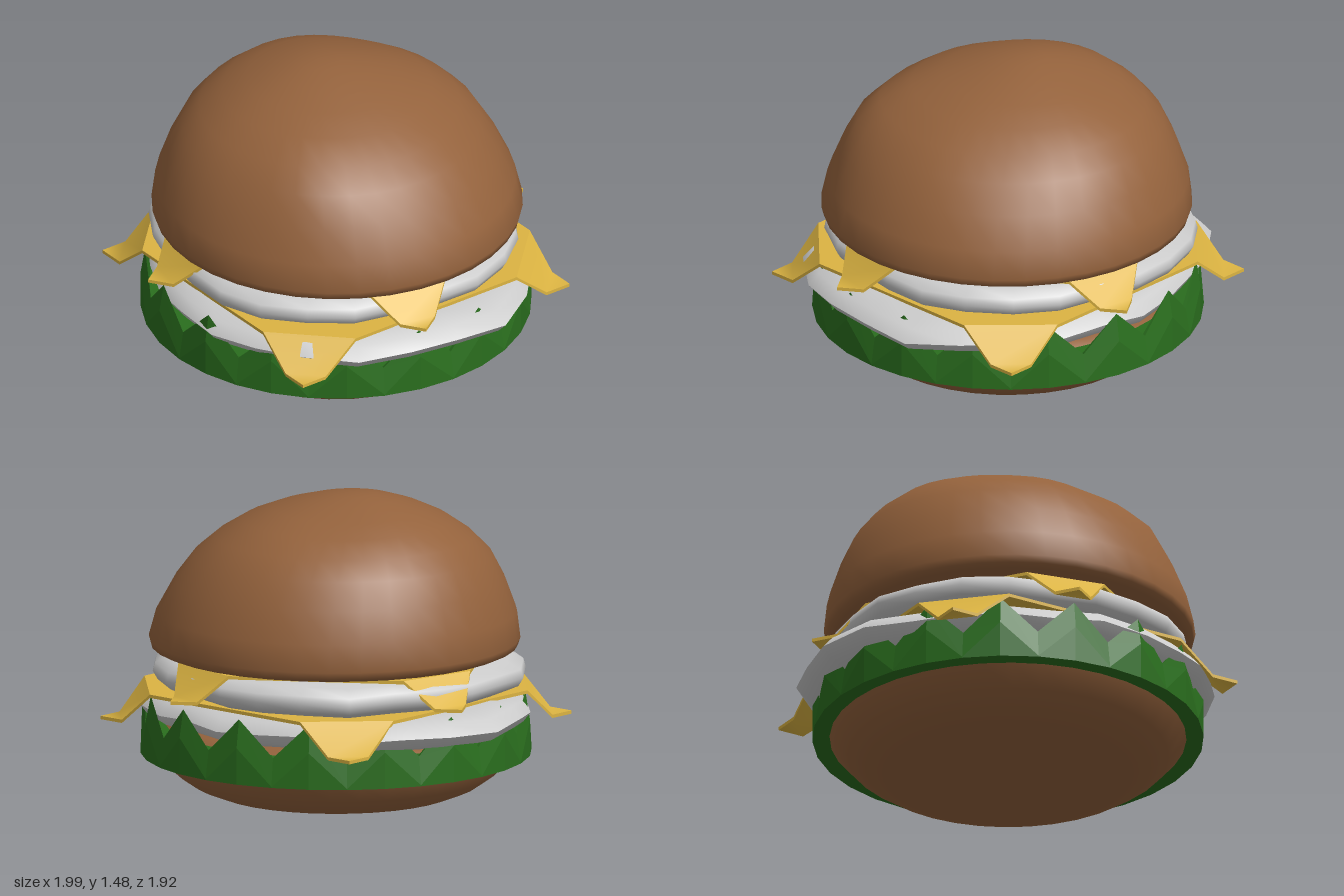
import * as THREE from 'three';
import { mergeVertices, toCreasedNormals } from 'three/addons/utils/BufferGeometryUtils.js';

const BUN = 0x94623c, CHEESE = 0xdcb442, LETTUCE = 0x2a6e1e, GREY = 0xcccccc;
const CX = 0.02;

function part(name, geometry, color, extra = {}) {
  const mesh = new THREE.Mesh(geometry, new THREE.MeshStandardMaterial({ color, ...extra }));
  mesh.name = name;
  return mesh;
}

// Moves every vertex by a rule
function deform(geo, rule) {
  const p = geo.attributes.position, v = new THREE.Vector3();
  for (let i = 0; i < p.count; i++) {
    v.fromBufferAttribute(p, i);
    rule(v, i);
    p.setXYZ(i, v.x, v.y, v.z);
  }
  return geo;
}

// Turned body with deformed vertices, smooth except at sharp edges
function turned(profile, segments, rule) {
  let geo = new THREE.LatheGeometry(profile.map(([r, y]) => new THREE.Vector2(r, y)), segments);
  geo.deleteAttribute('uv');
  geo.deleteAttribute('normal');
  geo = mergeVertices(deform(geo, rule), 1e-4);
  return toCreasedNormals(geo, 0.95);
}

// Top bun: a dome leaning slightly towards its crown, with soft dents and bulges
function topBun() {
  const profile = [[0, 0.72], [0.5, 0.72], [0.83, 0.72], [0.865, 0.735], [0.875, 0.77], [0.85, 0.9], [0.785, 1.05],
    [0.71, 1.18], [0.62, 1.27], [0.5, 1.35], [0.37, 1.405], [0.22, 1.45], [0.1, 1.475], [0, 1.48]];
  const lumps = [[0.45, 1.2, 0.45, 0.04], [0.5, 1.25, -0.4, -0.015], [-0.3, 1.38, -0.35, -0.02], [-0.35, 1.32, 0.4, -0.015]];
  const core = new THREE.Vector3(0, 0.72, 0), centre = new THREE.Vector3(), out = new THREE.Vector3();
  return turned(profile, 36, (v) => {
    const t = Math.max(0, (v.y - 0.76) / 0.72);
    v.x += 0.03 - 0.07 * t - 0.06 * t ** 4;
    if (v.y < 0.8) return;
    out.subVectors(v, core).normalize();
    for (const [x, y, z, amount] of lumps) {
      v.addScaledVector(out, amount * Math.exp(-centre.set(x, y, z).distanceToSquared(v) / 0.06));
    }
  });
}

// Bottom bun: a flat-based shallow bowl with a closed top
function bottomBun() {
  const profile = [[0, 0], [0.46, 0.012], [0.58, 0.035], [0.68, 0.075], [0.76, 0.13], [0.84, 0.22],
    [0.855, 0.27], [0.83, 0.33], [0.72, 0.36], [0, 0.37]];
  return turned(profile, 36, (v) => { v.x += CX; });
}

// Lettuce: a thick leaf with its rim folded up into sixteen teeth (rows hold radius, valley y, peak y)
function lettuceRing() {
  const rows = [[0.8, 0.222, 0.222], [0.922, 0.22, 0.22], [0.922, 0.225, 0.395], [0.9, 0.36, 0.53],
    [0.88, 0.355, 0.355], [0.8, 0.35, 0.35]];
  const geo = new THREE.LatheGeometry(rows.map(([r, y]) => new THREE.Vector2(r, y)), 32);
  return deform(geo, (v, i) => {
    const column = Math.floor(i / rows.length);
    if (column % 2) v.y = rows[i % rows.length][2];
    v.x += CX;
  });
}

// Irregular slab: the outline radius follows a list, with a gently wavy rim
function slab(profile, radii, wave) {
  const n = radii.length;
  return turned(profile, n, (v) => {
    const r = Math.hypot(v.x, v.z);
    if (r < 1e-4) return;
    const a = Math.atan2(v.z, v.x);
    const k = (Math.round(a / (2 * Math.PI) * n) + n) % n;
    const s = 1 + (radii[k] - 1) * Math.min(1, r);
    v.x *= s;
    v.z *= s;
    v.y += wave * r ** 4 * Math.sin(k * 2.4);
  });
}

// Cheese: thin square sheet whose corners fold down and flatten out at the tips
function cheese(name, half, foldStart, foldEnd, drop) {
  const group = new THREE.Group(), thick = 0.016, tip = half * Math.SQRT2;
  group.name = name;
  const c = foldStart * Math.SQRT2 - half;
  const outline = [[half, -c], [half, c], [c, half], [-c, half], [-half, c], [-half, -c], [-c, -half], [c, -half]];
  const middle = new THREE.ExtrudeGeometry(new THREE.Shape(outline.map(([x, y]) => new THREE.Vector2(x, y))),
    { depth: thick, bevelEnabled: false });
  middle.rotateX(-Math.PI / 2).translate(0, -thick / 2, 0);
  group.add(part('sheet', middle, CHEESE));

  const corner = deform(new THREE.BoxGeometry(2, thick, 2, 1, 1, 2), (v) => {
    const row = Math.round(v.z + 1);
    v.z = [foldStart, foldEnd, tip][row];
    v.x *= tip - v.z;
    v.y -= row ? drop : 0;
  });
  corner.computeVertexNormals();
  for (let k = 0; k < 4; k++) {
    const mesh = part('foldedCorner', corner, CHEESE);
    mesh.rotation.y = Math.PI / 4 + k * Math.PI / 2;
    group.add(mesh);
  }
  return group;
}

export function createModel() {
  const group = new THREE.Group();
  group.name = 'burger';

  group.add(part('bottomBun', bottomBun(), BUN));
  group.add(part('lettuce', lettuceRing(), LETTUCE, { flatShading: true, side: THREE.DoubleSide }));

  const lowerRadii = [0.985, 0.99, 0.99, 0.98, 0.94, 0.93, 0.9, 0.88, 0.87, 0.88, 0.92, 0.96,
    1.0, 0.97, 0.98, 0.92, 0.87, 0.86, 0.87, 0.87, 0.89, 0.94, 0.99, 1.03];
  const lowerProfile = [[0, 0.385], [0.7, 0.38], [0.88, 0.385], [0.96, 0.41], [1, 0.455], [0.95, 0.51],
    [0.82, 0.53], [0, 0.53]];
  group.add(part('lowerSlab', slab(lowerProfile, lowerRadii, 0.012), GREY));

  const lowerCheese = cheese('lowerCheese', 0.785, 0.89, 1.015, 0.145);
  lowerCheese.position.set(CX, 0.536, 0);
  group.add(lowerCheese);

  // The upper slab draws in under the four folded cheese corners
  const turn = THREE.MathUtils.degToRad(11.2);
  const upperRadii = Array.from({ length: 24 }, (_, k) => 0.862 - 0.024 * Math.cos(4 * (k * Math.PI / 12 - turn)));
  const upperProfile = [[0, 0.54], [0.78, 0.54], [0.9, 0.55], [0.97, 0.575], [1, 0.615], [0.985, 0.655],
    [0.9, 0.688], [0, 0.69]];
  group.add(part('upperSlab', slab(upperProfile, upperRadii, 0.008), GREY));

  const upperCheese = cheese('upperCheese', 0.693, 0.785, 0.89, 0.13);
  upperCheese.position.set(0.017, 0.7, 0);
  upperCheese.rotation.y = Math.PI / 4 - turn;
  group.add(upperCheese);

  group.add(part('topBun', topBun(), BUN));
  return group;
}
